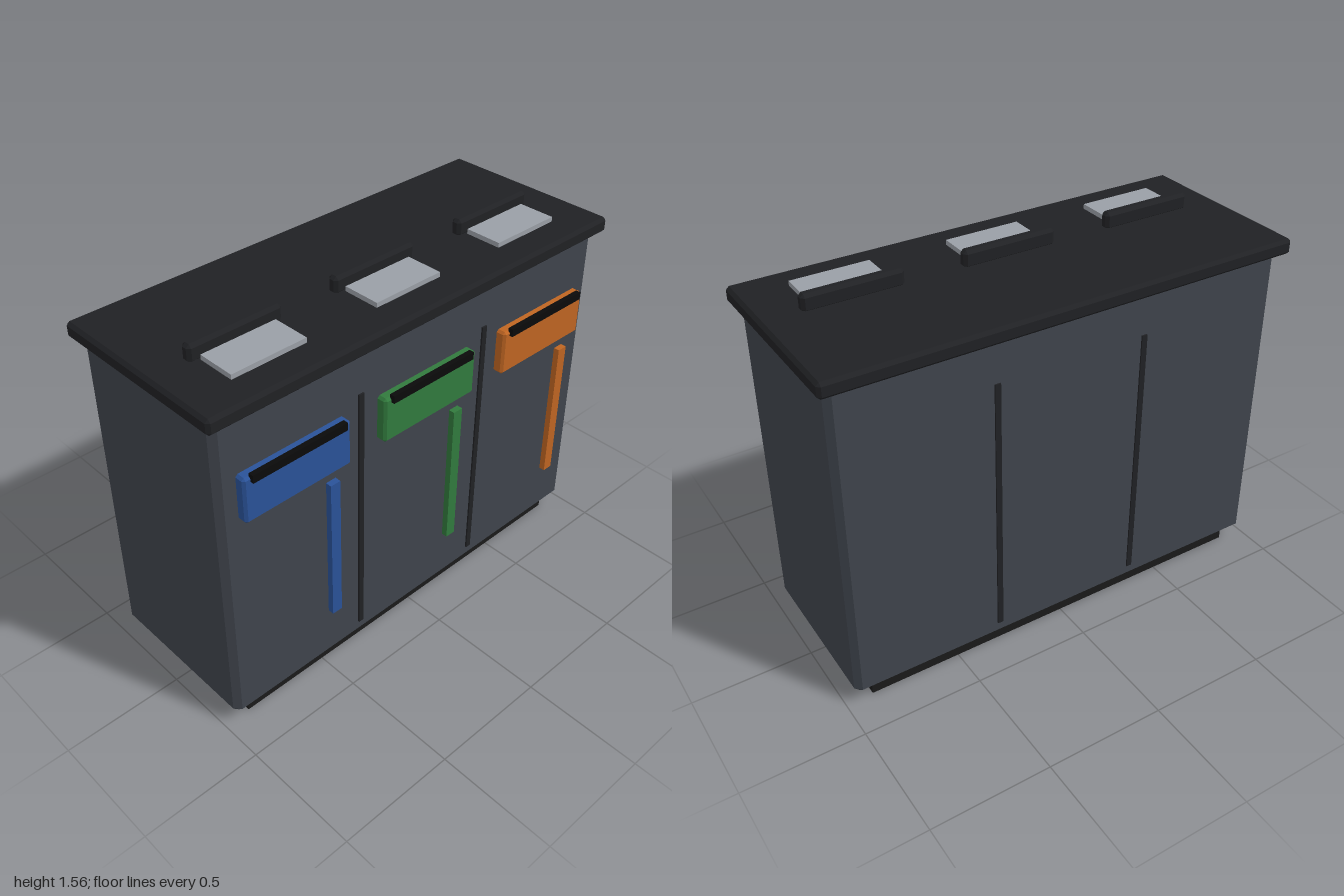
import * as THREE from 'three';
import { ConvexGeometry } from 'three/addons/geometries/ConvexGeometry.js';

const material = (color) => new THREE.MeshStandardMaterial({ color });

// Box with one flat chamfer of size b on every edge
function chamferBox(w, h, d, b) {
  const points = [];
  for (const x of [-1, 1]) for (const y of [-1, 1]) for (const z of [-1, 1])
    for (let axis = 0; axis < 3; axis++) {
      const inset = [b, b, b];
      inset[axis] = 0;
      points.push(new THREE.Vector3(
        x * (w / 2 - inset[0]), y * (h / 2 - inset[1]), z * (d / 2 - inset[2])));
    }
  return new ConvexGeometry(points);
}

// Adds a box spanning the given [min, max] ranges, chamfered when bevel > 0
function addBox(parent, name, mat, [x0, x1], [y0, y1], [z0, z1], bevel = 0) {
  const size = [x1 - x0, y1 - y0, z1 - z0];
  const geometry = bevel ? chamferBox(...size, bevel) : new THREE.BoxGeometry(...size);
  const mesh = new THREE.Mesh(geometry, mat);
  mesh.name = name;
  mesh.position.set((x0 + x1) / 2, (y0 + y1) / 2, (z0 + z1) / 2);
  parent.add(mesh);
  return mesh;
}

export function createModel() {
  const model = new THREE.Group();
  model.name = 'recyclingStation';

  const bodyGrey = material(0x3f444c);
  const lidBlack = material(0x202124);
  const plinthBlack = material(0x1a1a1a);
  const slotBlack = material(0x0a0a0a);
  const plateGrey = material(0x9a9fa6);

  // Cabinet
  addBox(model, 'plinth', plinthBlack, [-0.885, 0.885], [0, 0.08], [-0.33, 0.315]);
  addBox(model, 'body', bodyGrey, [-0.965, 0.965], [0.06, 1.44], [-0.37, 0.355], 0.025);
  addBox(model, 'lid', lidBlack, [-1, 1], [1.43, 1.495], [-0.41, 0.393], 0.013);

  // Dividing seams, standing proud of the front and back
  for (const x of [-0.323, 0.323])
    addBox(model, 'seam', lidBlack, [x - 0.012, x + 0.012], [0.125, 1.255], [-0.376, 0.362]);

  // Three bins, each with a flap, slot, stripe, lid plate and lid handle
  const bins = [['blue', 0x2a5298], ['green', 0x317a3d], ['orange', 0xbf6522]];
  bins.forEach(([name, color], i) => {
    const bin = new THREE.Group();
    bin.name = name + 'Bin';
    bin.position.x = (i - 1) * 0.645;
    const paint = material(color);
    addBox(bin, 'flap', paint, [-0.24, 0.24], [1.01, 1.203], [0.345, 0.396], 0.01);
    addBox(bin, 'slot', slotBlack, [-0.21, 0.21], [1.182, 1.214], [0.388, 0.41]);
    addBox(bin, 'stripe', paint, [0.152, 0.198], [0.3, 0.945], [0.345, 0.381]);
    addBox(bin, 'lidPlate', plateGrey, [-0.16, 0.16], [1.485, 1.515], [0.105, 0.265]);
    addBox(bin, 'lidHandle', lidBlack, [-0.2, 0.2], [1.485, 1.557], [0.051, 0.097], 0.013);
    model.add(bin);
  });

  return model;
}
